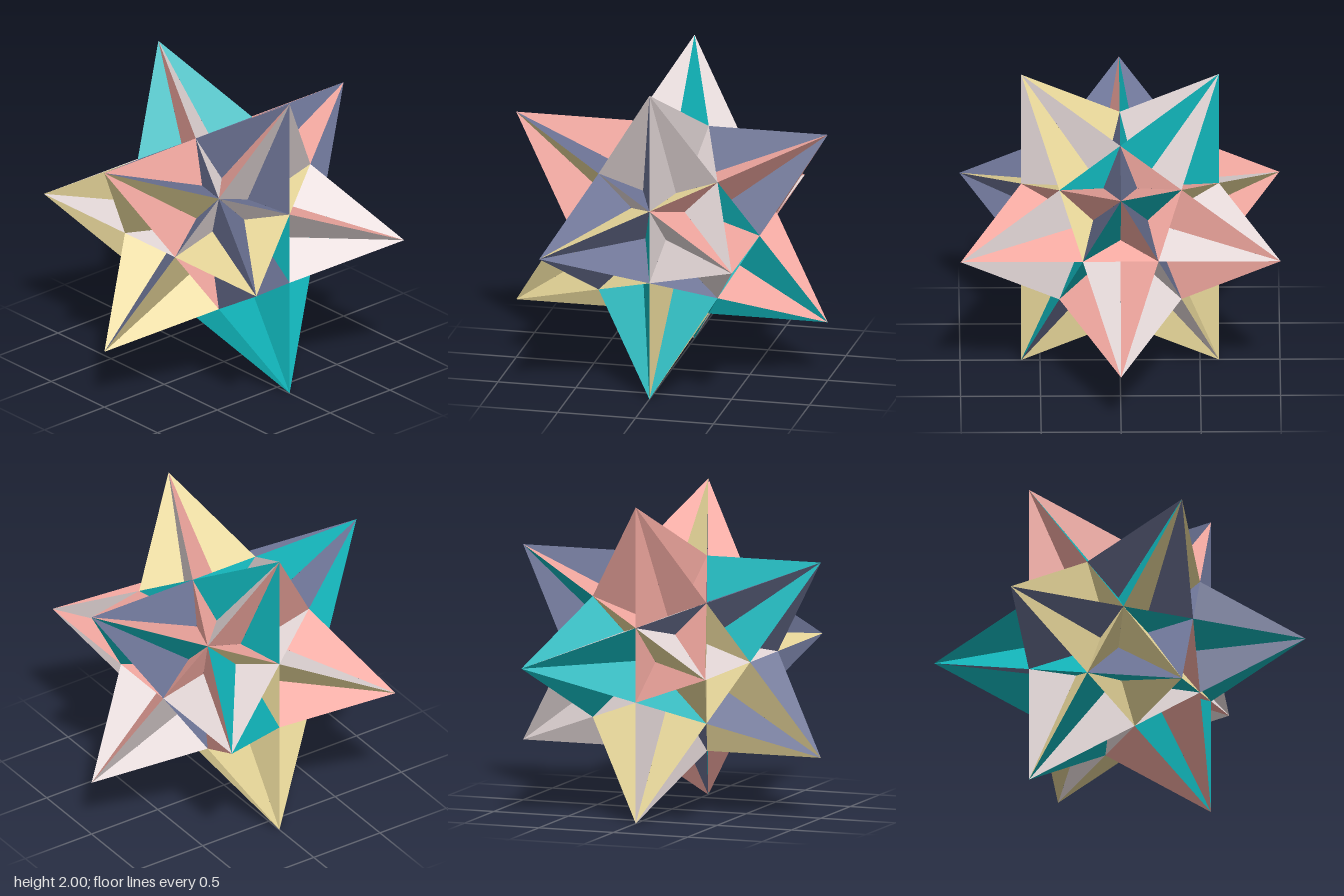
import * as THREE from 'three';

const PHI = (1 + Math.sqrt(5)) / 2, INV = 1 / PHI;
const COLORS = { T: 0x10b5ba, B: 0x6d7496, P: 0xf2a8a0, Y: 0xe8d79a, W: 0xe4d8d8 };
const NAMES = { T: 'tealFacets', B: 'blueFacets', P: 'pinkFacets', Y: 'yellowFacets', W: 'whiteFacets' };

// Each great triangular face: outward normal, and the colour at each of its three tips
const FACES = [
  [1, 1, 1, 'YWT'], [1, 1, -1, 'PBW'], [1, -1, 1, 'YWT'], [1, -1, -1, 'PBW'],
  [-1, 1, 1, 'BTP'], [-1, -1, 1, 'BTP'], [-1, 1, -1, 'WPY'], [-1, -1, -1, 'TYB'],
  [PHI, INV, 0, 'PBT'], [PHI, -INV, 0, 'YTW'], [-PHI, INV, 0, 'TBY'], [-PHI, -INV, 0, 'YWP'],
  [0, PHI, INV, 'PYW'], [0, PHI, -INV, 'BPW'], [0, -PHI, INV, 'YTB'], [0, -PHI, -INV, 'TPB'],
  [INV, 0, PHI, 'YBT'], [INV, 0, -PHI, 'PWY'], [-INV, 0, PHI, 'BPW'], [-INV, 0, -PHI, 'WTY'],
];

// The twelve spike tips: corners of three golden rectangles
function spikeTips() {
  const tips = [];
  for (let k = 0; k < 3; k++)
    for (const t of [1, -1])
      for (const s of [1, -1]) {
        const c = [0, s * INV, t];
        tips.push(new THREE.Vector3(c[(3 - k) % 3], c[(4 - k) % 3], c[(5 - k) % 3]));
      }
  return tips;
}

export function createModel() {
  const group = new THREE.Group();
  group.name = 'greatIcosahedron';
  const tips = spikeTips();
  const positions = { T: [], B: [], P: [], Y: [], W: [] };

  for (const [x, y, z, letters] of FACES) {
    const normal = new THREE.Vector3(x, y, z);
    const corners = tips.filter(v => Math.abs(v.dot(normal) - INV * INV) < 0.01)
      .map((point, i) => ({ point, color: letters[i] }));

    // Counter-clockwise seen from outside
    const [p, q, r] = corners.map(c => c.point);
    if (q.clone().sub(p).cross(r.clone().sub(p)).dot(normal) < 0) corners.reverse();

    corners.forEach(({ point: a, color }, i) => {
      const b = corners[(i + 1) % 3].point, c = corners[(i + 2) % 3].point;
      // Point of the face at weights u towards b and v towards c
      const at = (u, v) => a.clone().multiplyScalar(1 - u - v).addScaledVector(b, u).addScaledVector(c, v);
      const near = INV * INV, long = 0.2764, short = 0.1708, dip = 0.1055;
      const facets = [
        // two spike flanks
        a, at(near, 0), at(long, short),
        a, at(short, long), at(0, near),
        // small facet in the middle of the edge
        at(near, 0), at(INV, 0), at((1 - dip) / 2, dip),
      ];
      for (const v of facets) positions[color].push(v.x, v.y + 1, v.z);
    });
  }

  // One mesh per colour
  for (const key of Object.keys(COLORS)) {
    const geometry = new THREE.BufferGeometry();
    geometry.setAttribute('position', new THREE.Float32BufferAttribute(positions[key], 3));
    geometry.computeVertexNormals();
    const mesh = new THREE.Mesh(geometry,
      new THREE.MeshStandardMaterial({ color: COLORS[key], flatShading: true }));
    mesh.name = NAMES[key];
    group.add(mesh);
  }
  return group;
}
